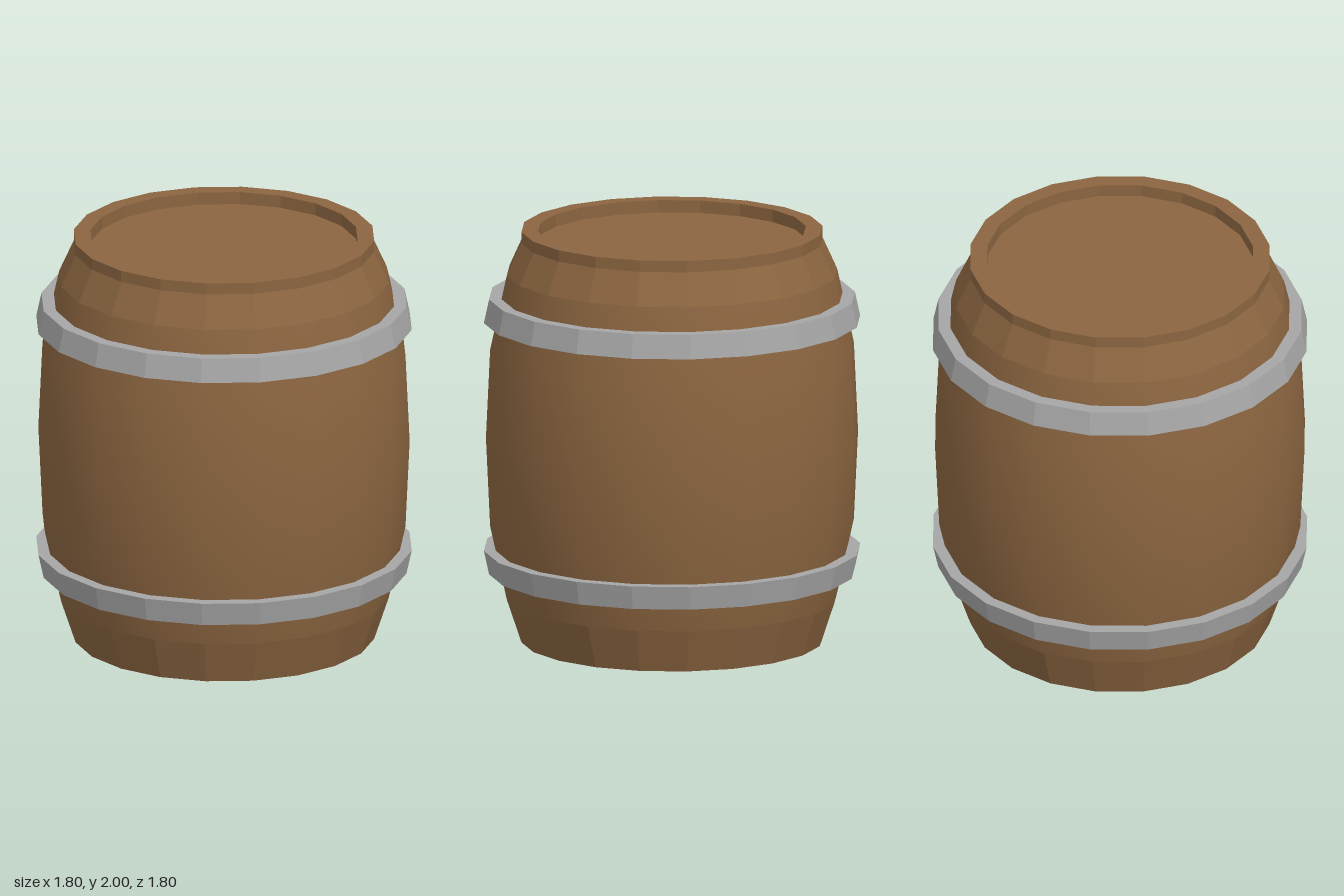
import * as THREE from 'three';

const SIDES = 20;

// Revolve a profile of [radius, height] pairs, listed so the outside faces out
function lathe(name, profile, material, flat = true) {
  const points = profile.map(([r, y]) => new THREE.Vector2(r, y));
  let geometry = new THREE.LatheGeometry(points, SIDES);
  if (flat) {
    geometry = geometry.toNonIndexed();
    geometry.computeVertexNormals();
  }
  const mesh = new THREE.Mesh(geometry, material);
  mesh.name = name;
  return mesh;
}

// Flat disc facing up or down
function disc(name, radius, y, up, material) {
  const geometry = new THREE.CircleGeometry(radius, SIDES);
  geometry.rotateX(up ? -Math.PI / 2 : Math.PI / 2);
  const mesh = new THREE.Mesh(geometry, material);
  mesh.name = name;
  mesh.position.y = y;
  return mesh;
}

export function createModel() {
  const wood = new THREE.MeshStandardMaterial({ color: 0x8b6540 });
  wood.name = 'wood';
  const metal = new THREE.MeshStandardMaterial({ color: 0xa6a6a6 });
  metal.name = 'metal';

  const barrel = new THREE.Group();
  barrel.name = 'barrel';

  // Smooth bulging staves between faceted ends
  barrel.add(
    lathe('staves', [[0.79, 0.21], [0.87, 0.57], [0.89, 1], [0.87, 1.43], [0.79, 1.79]], wood, false),
    lathe('lowerEnd', [[0.72, 0], [0.79, 0.21]], wood),
    lathe('upperEnd', [[0.79, 1.79], [0.72, 1.945], [0.72, 2], [0.64, 2], [0.64, 1.94]], wood),
    disc('lid', 0.64, 1.94, true, wood),
    disc('base', 0.72, 0, false, wood),
  );

  // Tapered hoops, widest towards the middle of the barrel
  barrel.add(
    lathe('lowerHoop', [[0.78, 0.335], [0.875, 0.335], [0.9, 0.45], [0.8, 0.45]], metal),
    lathe('upperHoop', [[0.8, 1.56], [0.9, 1.56], [0.875, 1.675], [0.78, 1.675]], metal),
  );

  return barrel;
}
